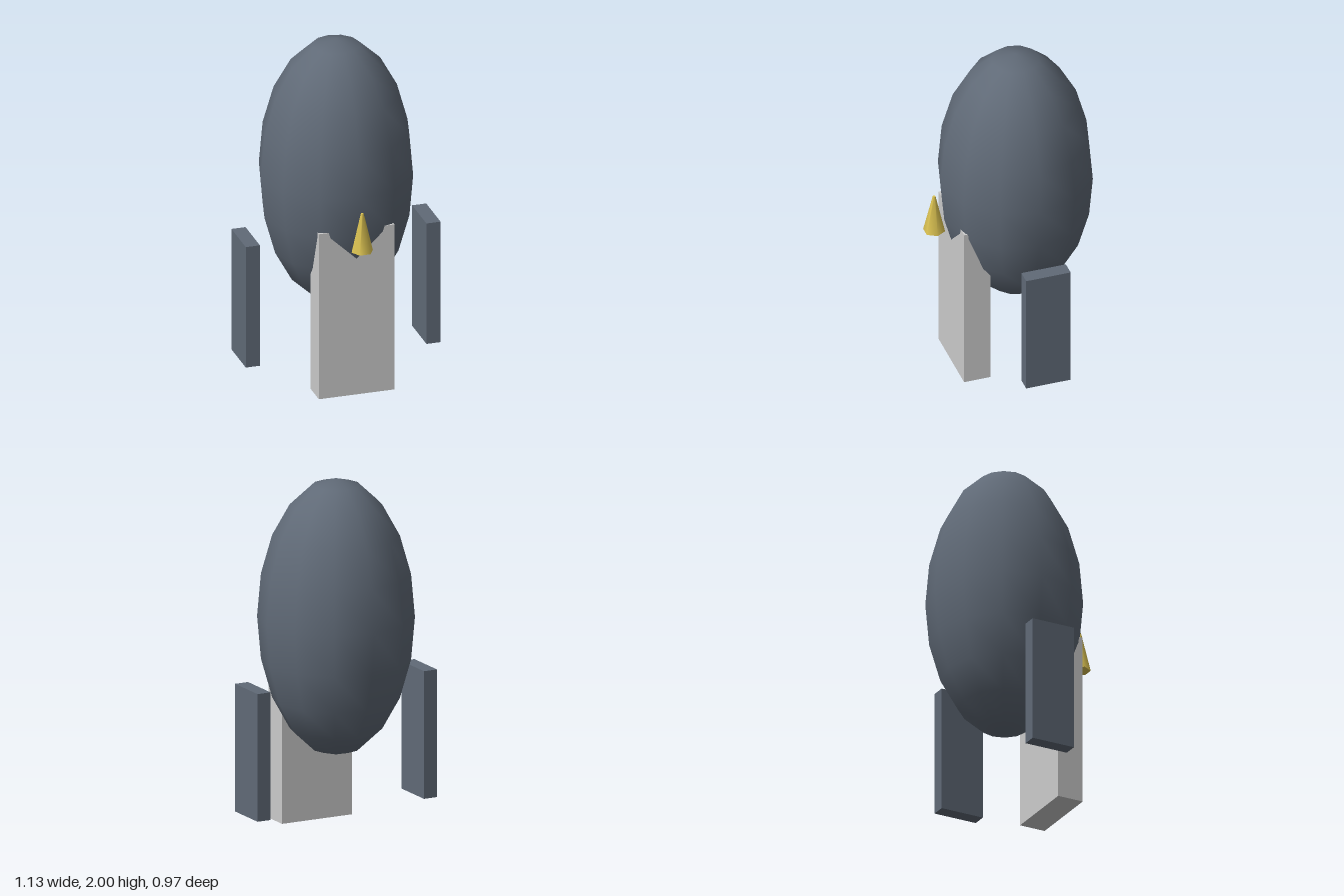
import * as THREE from 'three';

export function createModel() {
  const group = new THREE.Group();
  const slate = new THREE.MeshStandardMaterial({ color: 0x606a77 });
  const grey = new THREE.MeshStandardMaterial({ color: 0xcccccc });
  const gold = new THREE.MeshStandardMaterial({ color: 0xdcc352 });

  const add = (name, geometry, material, x, y, z) => {
    const mesh = new THREE.Mesh(geometry, material);
    mesh.name = name;
    mesh.position.set(x, y, z);
    group.add(mesh);
    return mesh;
  };

  // Tall egg-shaped body, twelve sides around
  const bodyShape = new THREE.SphereGeometry(1, 12, 10).scale(0.437, 0.79, 0.437);
  add('body', bodyShape, slate, 0, 1.21, -0.045);

  // Front slab, its upper end sunk into the body
  add('frontPanel', new THREE.BoxGeometry(0.44, 1, 0.155), grey, 0, 0.5, 0.2525);

  // Flat side panels standing clear of the body
  for (const side of [1, -1]) {
    add(side > 0 ? 'leftPanel' : 'rightPanel',
      new THREE.BoxGeometry(0.082, 0.73, 0.26), slate, side * 0.525, 0.5, -0.045);
  }

  // Small six-sided spike at the front
  const spike = add('spike', new THREE.CylinderGeometry(0.008, 0.062, 0.23, 6), gold, 0, 1.025, 0.43);
  spike.rotation.y = Math.PI / 6;

  return group;
}
